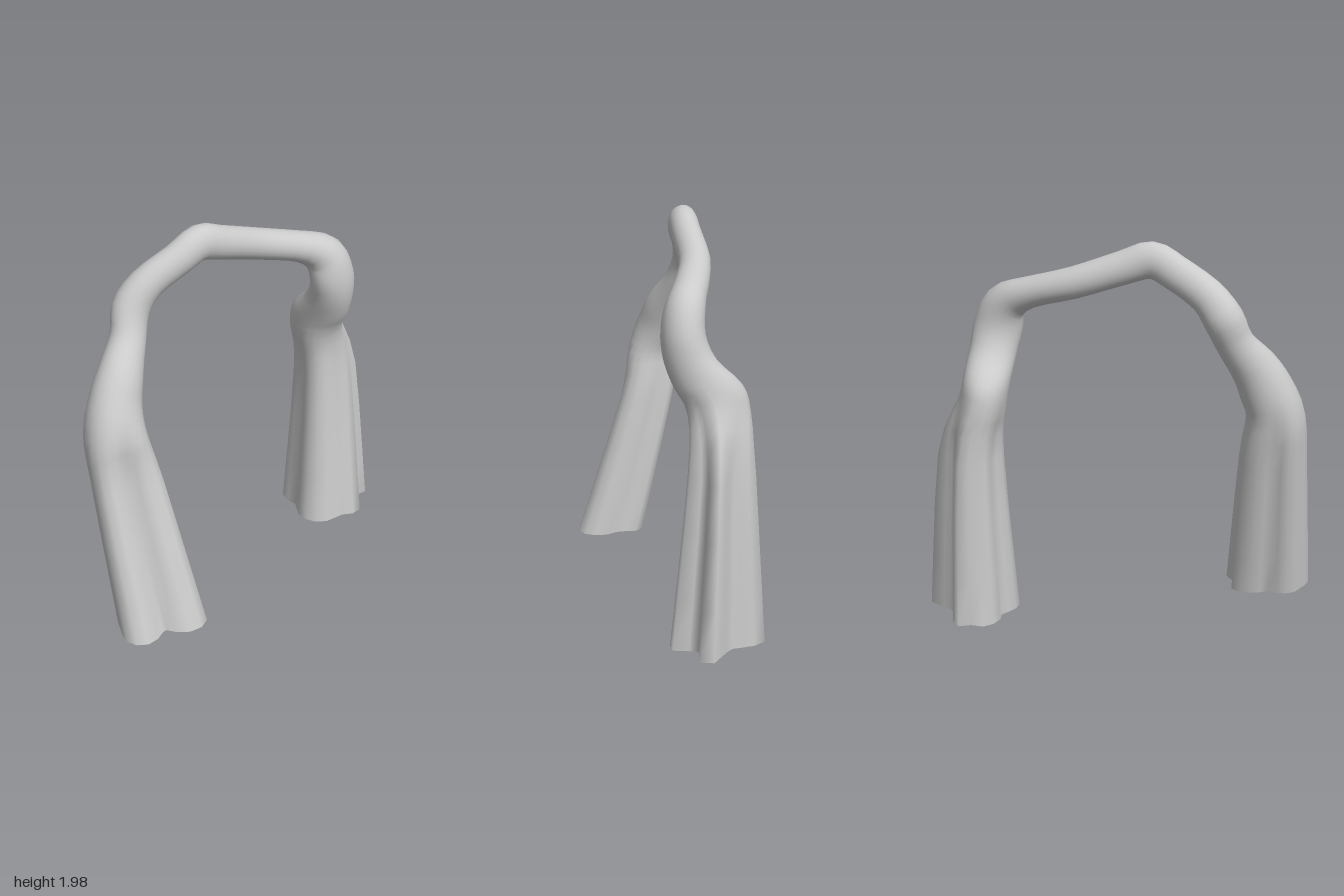
import * as THREE from 'three';

const SIDES = 24;
const STEPS = 3; // rings per section

// Fluted foot outlines: radius every 15 degrees
const rightFoot = [.185, .22, .24, .245, .225, .185, .13, .085, .09, .14, .19, .215,
  .22, .205, .195, .2, .19, .17, .135, .165, .19, .215, .22, .19];
const leftFoot = [.21, .23, .235, .225, .2, .19, .22, .23, .17, .15, .26, .255,
  .17, .135, .125, .15, .2, .245, .22, .245, .23, .2, .165, .18];

// Sections: x, y, z, half width, half depth
const rightLeg = [
  [-.78, .1, .14, .22, .22],
  [-.78, .85, -.07, .175, .175],
  [-.785, 1.1, -.115, .15, .16],
  [-.73, 1.26, -.15, .135, .125],
  [-.67, 1.37, -.17, .118, .11],
];
const span = [
  [-.575, 1.5, -.215, .095, .09],
  [-.515, 1.63, -.25, .1, .09],
  [-.43, 1.74, -.22, .09, .085],
  [-.28, 1.835, -.155, .088, .078],
  [-.165, 1.89, -.125, .092, .075],
  [-.03, 1.85, -.11, .085, .076],
  [.22, 1.765, -.085, .08, .08],
  [.45, 1.695, -.005, .08, .09],
  [.57, 1.625, .055, .108, .1],
];
const leftLeg = [
  [.615, 1.5, .075, .125, .105],
  [.64, 1.38, .045, .12, .125],
  [.665, 1.26, -.035, .12, .165],
  [.69, 1.13, -.08, .125, .15],
  [.75, .85, -.07, .16, .155],
  [.75, 0, -.05, .22, .22],
];
const sections = [...rightLeg, ...span, ...leftLeg];
const last = sections.length - 1;

// Smooth section at parameter t (in sections)
function sectionAt(t) {
  const i = THREE.MathUtils.clamp(Math.floor(t), 0, last - 1);
  const f = THREE.MathUtils.clamp(t - i, 0, 1);
  const p0 = sections[Math.max(i - 1, 0)], p1 = sections[i];
  const p2 = sections[i + 1], p3 = sections[Math.min(i + 2, last)];
  return p1.map((b, k) => {
    const m1 = (p2[k] - p0[k]) / 2, m2 = (p3[k] - b) / 2, d = p2[k] - b;
    return b + f * (m1 + f * (3 * d - 2 * m1 - m2 + f * (m1 + m2 - 2 * d)));
  });
}

// Open tube lofted through the sections, round above and fluted towards the feet
function loftGeometry() {
  const position = [], index = [];
  const rings = last * STEPS;
  for (let r = 0; r <= rings; r++) {
    const t = r / STEPS;
    const [x, y, z, width, depth] = sectionAt(t);
    const before = sectionAt(t - .5), after = sectionAt(t + .5);
    const flute = 1 - THREE.MathUtils.smoothstep(y, .8, 1.3);
    // Rings lie across the path, and level where the legs are fluted
    const heading = Math.atan2(after[1] - before[1], (after[0] - before[0]) * (1 - flute));
    const foot = x < 0 ? rightFoot : leftFoot;
    for (let s = 0; s < SIDES; s++) {
      const angle = s / SIDES * Math.PI * 2;
      const radius = THREE.MathUtils.lerp(1, foot[s] / .22, flute);
      const u = Math.cos(angle) * radius * width;
      position.push(x + Math.sin(heading) * u, y - Math.cos(heading) * u,
        z + Math.sin(angle) * radius * depth);
      if (r < rings) {
        const p = r * SIDES + s, q = r * SIDES + (s + 1) % SIDES;
        index.push(p, p + SIDES, q, q, p + SIDES, q + SIDES);
      }
    }
  }
  const geometry = new THREE.BufferGeometry();
  geometry.setAttribute('position', new THREE.Float32BufferAttribute(position, 3));
  geometry.setIndex(index);
  geometry.computeVertexNormals();
  return geometry;
}

export function createModel() {
  const group = new THREE.Group();
  group.name = 'archedRoot';
  const material = new THREE.MeshStandardMaterial({ color: 0xcccccc, side: THREE.DoubleSide });
  const arch = new THREE.Mesh(loftGeometry(), material);
  arch.name = 'archWithFlutedLegs';
  group.add(arch);
  return group;
}
